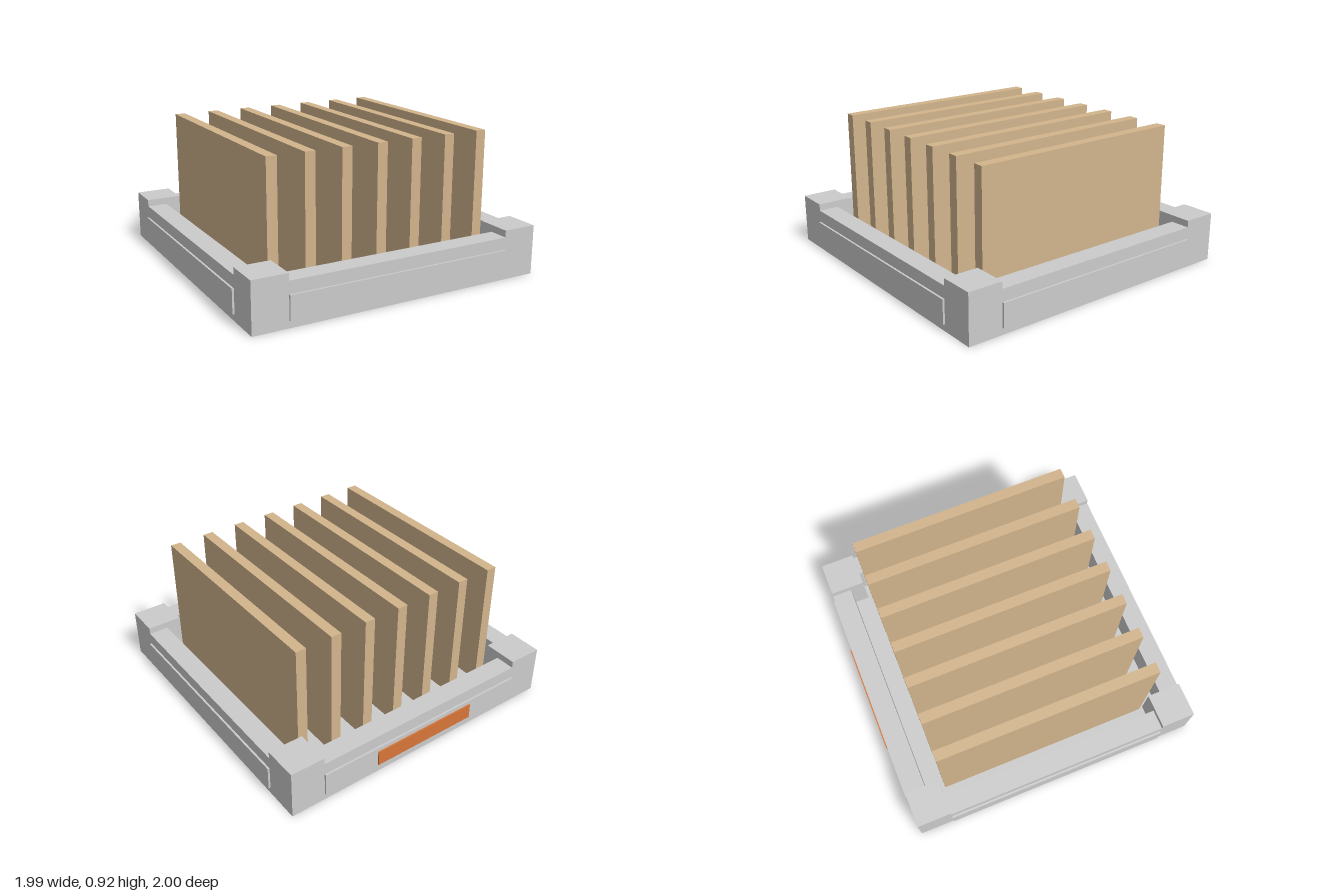
import * as THREE from 'three';

const grey = new THREE.MeshStandardMaterial({ color: 0xcccccc });
const tan = new THREE.MeshStandardMaterial({ color: 0xd2b48c });
const orange = new THREE.MeshStandardMaterial({ color: 0xd9763a });

const OUTER = 0.982;   // half width of the tray
const INNER = 0.85;    // inside face of the rails
const CORNER = 0.754;  // inside face of the corner blocks
const FLOOR = 0.05;    // top of the floor plate

export function createModel() {
  const model = new THREE.Group();
  model.name = 'slottedTray';

  // Box given by its minimum and maximum corners
  function box(name, min, max, material = grey, parent = model) {
    const size = max.map((v, i) => v - min[i]);
    const mesh = new THREE.Mesh(new THREE.BoxGeometry(...size), material);
    mesh.position.set(...max.map((v, i) => (v + min[i]) / 2));
    mesh.name = name;
    parent.add(mesh);
    return mesh;
  }

  // Floor plate between the rails
  box('floor', [-INNER, 0, -INNER], [INNER, FLOOR, INNER]);

  // Each side: low rail, raised panel and one taller corner block
  const sides = ['front', 'left', 'back', 'right'];
  sides.forEach((side, i) => {
    const group = new THREE.Group();
    group.name = side + 'Side';
    group.rotation.y = i * Math.PI / 2;
    box('rail', [-CORNER, 0, INNER], [CORNER, 0.28, OUTER], grey, group);
    box('sidePanel', [-CORNER, 0.045, OUTER - 0.01], [CORNER, 0.2, 0.995], grey, group);
    box('cornerBlock', [CORNER, 0, CORNER], [OUTER, 0.325, OUTER], grey, group);
    model.add(group);
  });

  // Label plate on the back panel
  box('backLabel', [-0.37, 0.07, -1.004], [0.37, 0.172, -0.99], orange);

  // Row of upright boards
  for (let i = -3; i <= 3; i++) {
    const x = i * 0.2425;
    box('board', [x - 0.034, FLOOR, -0.727], [x + 0.034, 0.918, 0.727], tan);
  }

  // Centre the depth, since the label sticks out at the back
  model.children.forEach((part) => { part.position.z += 0.004; });
  return model;
}
